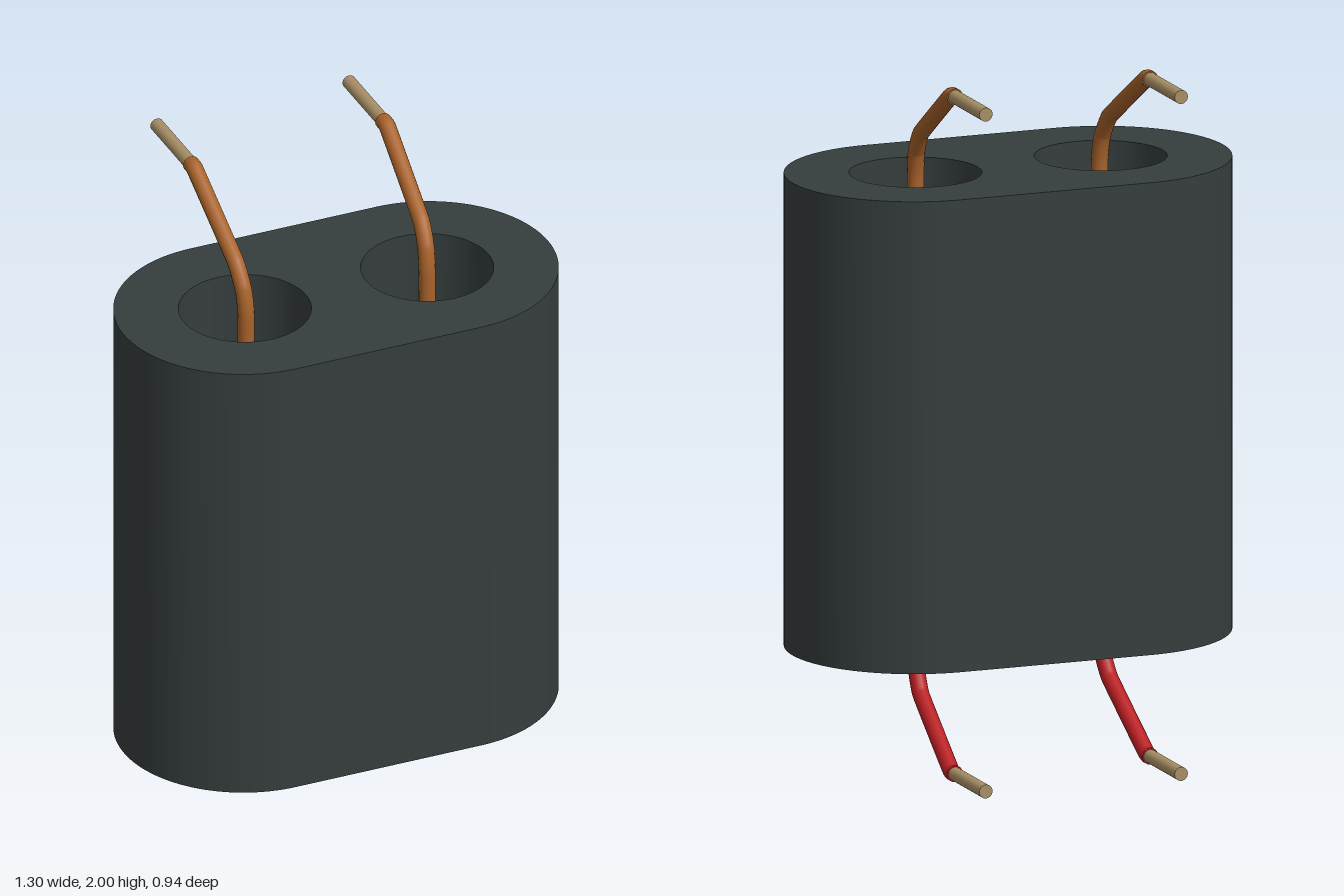
import * as THREE from 'three';
import { toCreasedNormals } from 'three/addons/utils/BufferGeometryUtils.js';

const mat = (name, color) => {
  const m = new THREE.MeshStandardMaterial({ color });
  m.name = name;
  return m;
};

export function createModel() {
  const root = new THREE.Group();
  root.name = 'twinHoleCore';
  const ferrite = mat('darkFerrite', 0x363d3d);
  const copper = mat('copperBrown', 0xa8622a);
  const red = mat('enamelRed', 0xb81e22);
  const tinned = mat('bareWireTan', 0xa98f66);

  const add = (name, geometry, material, parent = root) => {
    const mesh = new THREE.Mesh(geometry, material);
    mesh.name = name;
    parent.add(mesh);
    return mesh;
  };

  // Stadium-shaped core with two through holes
  const Z = 0.104, R = 0.365, HX = 0.285, Y0 = 0.322, Y1 = 1.684;
  const outline = new THREE.Shape();
  outline.absarc(HX, 0, R, -Math.PI / 2, Math.PI / 2, false);
  outline.absarc(-HX, 0, R, Math.PI / 2, Math.PI * 1.5, false);
  outline.closePath();
  for (const side of [-1, 1]) {
    const hole = new THREE.Path();
    hole.absarc(side * 0.28, 0, 0.187, 0, Math.PI * 2, true);
    outline.holes.push(hole);
  }
  const core = new THREE.ExtrudeGeometry(outline, { depth: Y1 - Y0, bevelEnabled: false, curveSegments: 40 });
  core.rotateX(-Math.PI / 2);
  core.translate(0, Y0, Z);
  add('core', toCreasedNormals(core, 0.6), ferrite);

  // Upper half of a lead: from the middle of the hole, up, then bent to the back
  const path = [
    [0.278, 1.0, 0.104], [0.278, 1.66, 0.108], [0.281, 1.745, 0.093],
    [0.285, 1.81, 0.048], [0.295, 1.968, -0.198], [0.295, 1.976, -0.215], [0.295, 1.976, -0.236],
  ];
  const WIRE_R = 0.024, TIP_R = 0.02, TIP_START = -0.236, TIP_END = -0.472;

  const addLead = (name, side, lower, material) => {
    const group = new THREE.Group();
    group.name = name;
    root.add(group);
    const place = ([x, y, z]) => new THREE.Vector3(side * x, lower ? 2 - y : y, z);
    const curve = new THREE.CatmullRomCurve3(path.map(place), false, 'catmullrom', 0.15);
    add('insulation', new THREE.TubeGeometry(curve, 120, WIRE_R, 16), material, group);

    // Closed end of the insulation around the bare tip
    const end = place(path[path.length - 1]);
    const cap = new THREE.CircleGeometry(WIRE_R, 16);
    cap.rotateY(Math.PI);
    add('insulationEnd', cap, material, group).position.copy(end);

    const tip = new THREE.CylinderGeometry(TIP_R, TIP_R, TIP_START - TIP_END, 16);
    tip.rotateX(Math.PI / 2);
    add('bareTip', tip, tinned, group).position.set(end.x, end.y, (TIP_START + TIP_END) / 2);
  };

  for (const side of [-1, 1]) {
    const label = side > 0 ? 'left' : 'right';
    addLead(label + 'UpperLead', side, false, copper);
    addLead(label + 'LowerLead', side, true, red);
  }
  return root;
}
